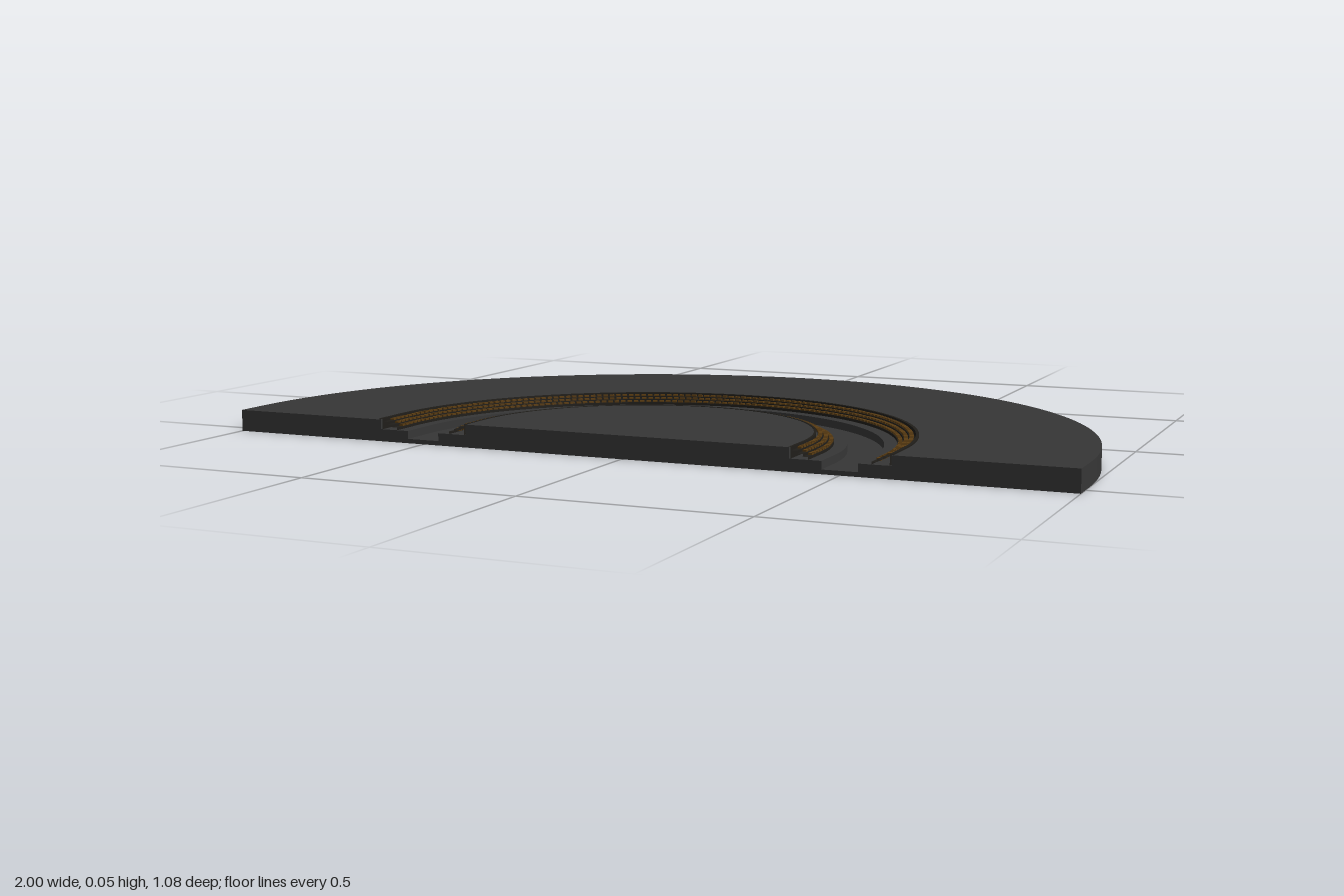
import * as THREE from 'three';
import { mergeGeometries, toCreasedNormals } from 'three/addons/utils/BufferGeometryUtils.js';

const CZ = 0.46, FRONT = 0.54, SEG = 96;

// Stations along a half ring with short straight ends: angle and z shift
const stations = [[0, FRONT - CZ]];
for (let i = 0; i <= SEG; i++) stations.push([Math.PI * i / SEG, 0]);
stations.push([Math.PI, FRONT - CZ]);

// Sweep a [radius, height] profile, listed from outside to inside
function sweep(profile) {
  const pos = [], index = [], n = profile.length;
  for (const [a, dz] of stations)
    for (const [r, y] of profile) pos.push(r * Math.cos(a), y, CZ + dz - r * Math.sin(a));
  for (let i = 0; i < stations.length - 1; i++)
    for (let j = 0; j < n - 1; j++) {
      const a = i * n + j, b = a + n;
      index.push(a, b, a + 1, b, b + 1, a + 1);
    }
  const g = new THREE.BufferGeometry();
  g.setAttribute('position', new THREE.Float32BufferAttribute(pos, 3));
  g.setIndex(index);
  return toCreasedNormals(g, 0.5);
}

// A row of small blocks following the half ring
function blockRow(r, y0, y1, depth) {
  const parts = [], add = (x, z, turn) => {
    const g = new THREE.BoxGeometry(depth, y1 - y0, 0.011);
    g.rotateY(turn);
    g.translate(x, (y0 + y1) / 2, z);
    parts.push(g);
  };
  const count = Math.round(Math.PI * r / 0.016);
  for (let i = 0; i <= count; i++) {
    const a = Math.PI * i / count;
    add(r * Math.cos(a), CZ - r * Math.sin(a), a);
  }
  for (const s of [-1, 1])
    for (let k = 1; k <= 3; k++) add(s * r, CZ + k * 0.016, 0);
  return mergeGeometries(parts);
}

export function createModel() {
  const grey = new THREE.MeshStandardMaterial({ color: 0x363636, side: THREE.DoubleSide });
  grey.name = 'dark grey';
  const black = new THREE.MeshStandardMaterial({ color: 0x201e1a, side: THREE.DoubleSide });
  black.name = 'near black';
  const brown = new THREE.MeshStandardMaterial({ color: 0x5a3c12 });
  brown.name = 'brown';

  const model = new THREE.Group();
  model.name = 'halfRoundArena';
  const add = (name, geometry, material) => {
    const m = new THREE.Mesh(geometry, material);
    m.name = name;
    model.add(m);
  };

  // Open-bottomed shell with a stepped trench
  const section = [[1, 0], [1, 0.05], [0.612, 0.05], [0.612, 0.028], [0.54, 0.028], [0.54, 0.01],
    [0.46, 0.01], [0.46, 0.028], [0.388, 0.028], [0.388, 0.052], [0, 0.052]];
  add('platform', sweep(section), grey);

  // Front wall follows the trench outline
  const half = section.slice(0, -1);
  const outline = [...half, ...half.slice().reverse().map(([x, y]) => [-x, y])];
  const wall = new THREE.ShapeGeometry(new THREE.Shape(outline.map(([x, y]) => new THREE.Vector2(x, y))));
  wall.translate(0, 0, FRONT);
  add('frontWall', wall, grey);

  // Thin raised lips round the trench
  add('outerLip', sweep([[0.615, 0.05], [0.615, 0.053], [0.608, 0.053], [0.608, 0.028]]), black);
  add('innerLip', sweep([[0.392, 0.028], [0.392, 0.053], [0.387, 0.053], [0.387, 0.05]]), black);

  // Tiered benches on both shelves, rising away from the slot
  const tiers = [0.034, 0.04, 0.046];
  for (const [name, start, dir] of [['outer', 0.575, 1], ['inner', 0.425, -1]]) {
    const steps = [];
    tiers.forEach((y, i) => {
      const r = start + dir * i * 0.012;
      steps.push([r - dir * 0.006, i ? tiers[i - 1] : 0.028], [r - dir * 0.006, y], [r + dir * 0.006, y]);
    });
    if (dir > 0) steps.reverse();
    add(name + 'Benches', sweep(steps), black);
    add(name + 'Seats', mergeGeometries(tiers.map((y, i) =>
      blockRow(start + dir * i * 0.012, y - 0.002, y + 0.004, 0.009))), brown);
  }
  return model;
}
